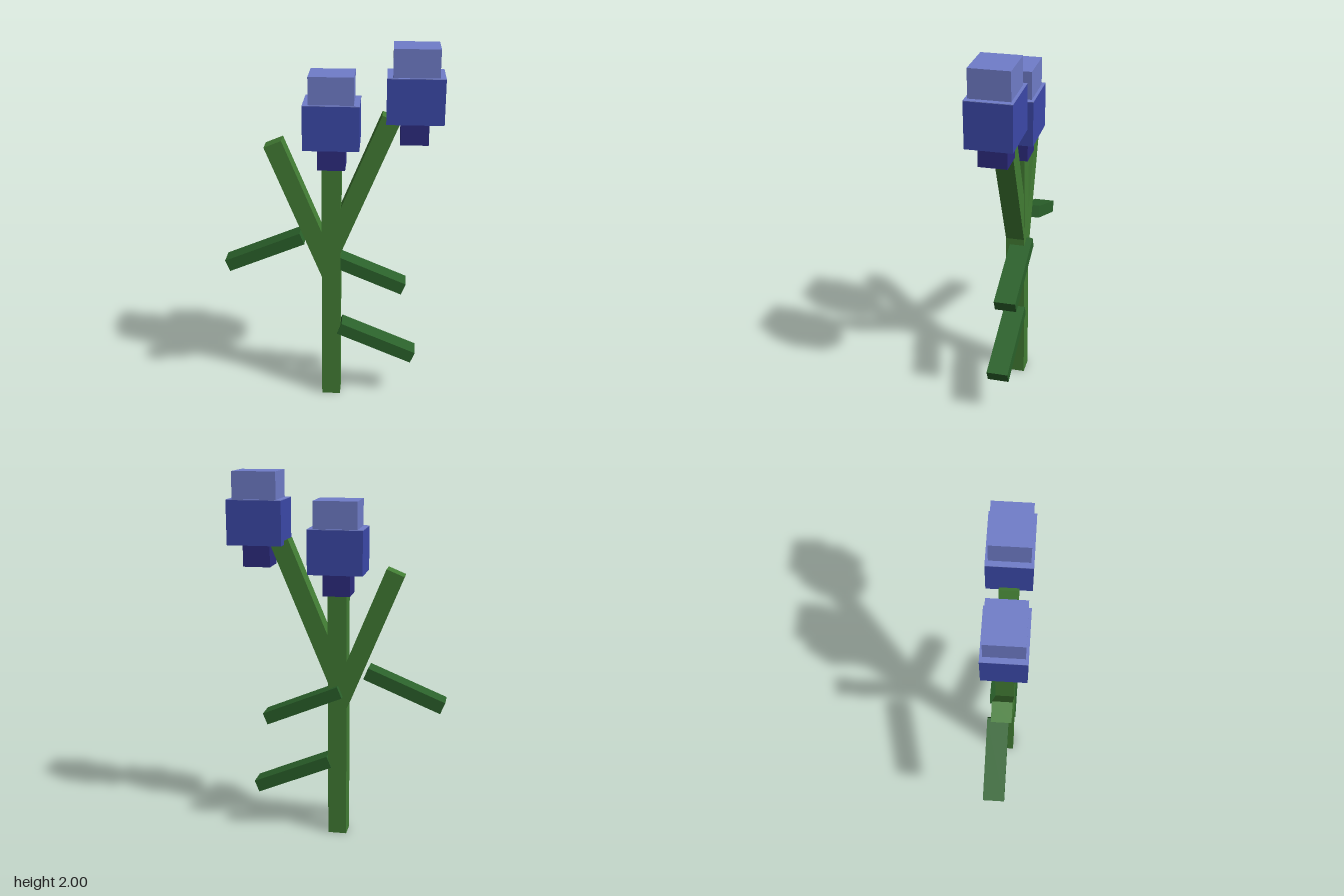
import * as THREE from 'three';

const material = (name, color) => {
  const m = new THREE.MeshStandardMaterial({ color });
  m.name = name;
  return m;
};

export function createModel() {
  const stemGreen = material('stem green', 0x427d34);
  const leafGreen = material('leaf green', 0x2b622b);
  const darkBlue = material('dark blue', 0x2d2c80);
  const midBlue = material('mid blue', 0x3c49aa);
  const paleBlue = material('pale blue', 0x707dc9);

  const model = new THREE.Group();
  model.name = 'flowerPlant';

  const box = (parent, name, mat, size, position, tilt = 0) => {
    const mesh = new THREE.Mesh(new THREE.BoxGeometry(...size), mat);
    mesh.name = name;
    mesh.position.set(...position);
    mesh.rotation.z = tilt;
    parent.add(mesh);
  };

  // Everything that leans does so by an eighth of a half turn
  const lean = Math.PI / 8;
  const stemX = 0.003;

  // Main stem
  box(model, 'stem', stemGreen, [0.102, 1.36, 0.102], [stemX, 0.68, 0]);

  // Branches start inside the stem and end in mid air
  const branch = (name, side, baseY, length) => {
    const x = stemX + side * Math.sin(lean) * length / 2;
    const y = baseY + Math.cos(lean) * length / 2;
    box(model, name, stemGreen, [0.1, length, 0.1], [x, y, 0], -side * lean);
  };
  branch('leftBranch', 1, 0.885, 0.806);
  branch('rightBranch', -1, 0.745, 0.802);

  // Leaves, drooping away from the stem
  const leaf = (name, x, y, z, side) =>
    box(model, name, leafGreen, [0.447, 0.067, 0.115], [x, y, z], -side * lean);
  leaf('rightLeaf', -0.364, 0.862, -0.03, -1);
  leaf('upperLeftLeaf', 0.192, 0.748, -0.028, 1);
  leaf('lowerLeftLeaf', 0.255, 0.336, 0, 1);

  // Flower heads: three stacked blocks
  const flower = (name, x, y) => {
    const head = new THREE.Group();
    head.name = name;
    head.position.set(x, y, 0);
    box(head, 'flowerBase', darkBlue, [0.146, 0.118, 0.146], [0, 0.059, 0]);
    box(head, 'petals', midBlue, [0.293, 0.234, 0.233], [0, 0.235, 0]);
    // The petal block has a pale upper face
    box(head, 'petalTop', paleBlue, [0.293, 0.003, 0.233], [0, 0.3535, 0]);
    box(head, 'flowerTip', paleBlue, [0.234, 0.145, 0.204], [0, 0.4265, 0]);
    model.add(head);
  };
  flower('centreFlower', 0.004, 1.356);
  flower('leftFlower', 0.431, 1.501);

  return model;
}
